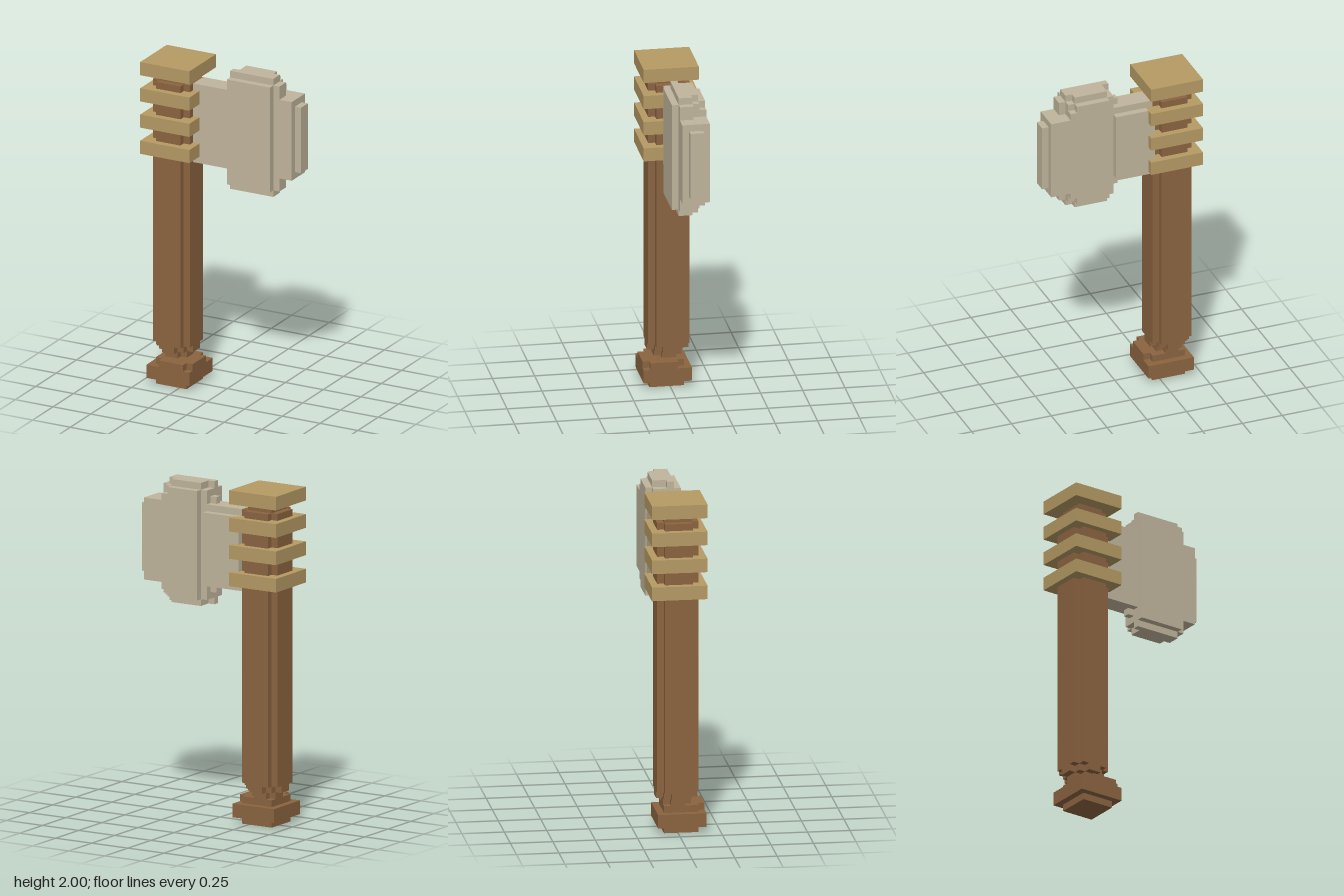
import * as THREE from 'three';

const U = 2 / 49; // one cell of the block grid

const wood = new THREE.MeshStandardMaterial({ color: 0x8b6440 });
wood.name = 'brown wood';
const binding = new THREE.MeshStandardMaterial({ color: 0xb59a64 });
binding.name = 'tan binding';
const stone = new THREE.MeshStandardMaterial({ color: 0xc0b59c });
stone.name = 'pale stone';

// Box spanning grid cells x0..x1, y0..y1, z0..z1
function block(parent, name, material, [x0, x1], [y0, y1], [z0, z1]) {
  const geometry = new THREE.BoxGeometry((x1 - x0) * U, (y1 - y0) * U, (z1 - z0) * U);
  const mesh = new THREE.Mesh(geometry, material);
  mesh.name = name;
  mesh.position.set(((x0 + x1) / 2 - 12) * U, ((y0 + y1) / 2) * U, ((z0 + z1) / 2 - 4) * U);
  parent.add(mesh);
}

// Two crossed boxes: a square section with its corners cut out
function cross(parent, name, material, long, short, y) {
  block(parent, name, material, long, y, short);
  block(parent, name, material, short, y, long);
}

function group(parent, name) {
  const g = new THREE.Group();
  g.name = name;
  parent.add(g);
  return g;
}

export function createModel() {
  const model = new THREE.Group();
  model.name = 'axe';

  // Handle: notched shaft with a tapered neck
  const handle = group(model, 'handle');
  cross(handle, 'shaft', wood, [1, 7], [2, 6], [6, 46]);
  cross(handle, 'shaftFoot', wood, [1, 7], [3, 5], [5, 6]);
  block(handle, 'shaftFoot', wood, [2, 6], [5, 6], [2, 6]);
  block(handle, 'shaftTop', wood, [2, 6], [46, 47], [2, 6]);
  cross(handle, 'neck', wood, [2, 6], [3, 5], [4, 5]);

  // Pommel
  const pommel = group(model, 'pommel');
  block(pommel, 'pommelBottom', wood, [2, 7], [0, 1], [2, 7]);
  block(pommel, 'pommelBody', wood, [1, 8], [1, 3], [1, 8]);
  cross(pommel, 'pommelTop', wood, [2, 8], [3, 7], [3, 4]);
  block(pommel, 'pommelTop', wood, [2, 7], [3, 4], [2, 7]);

  // Square bindings around the top of the handle
  const bindings = group(model, 'bindings');
  for (const y of [35, 39, 43, 47]) block(bindings, 'bindingRing', binding, [0, 8], [y, y + 2], [0, 8]);

  // Axe head: connecting web, then the stepped blade
  const head = group(model, 'axeHead');
  block(head, 'web', stone, [7, 13], [34, 46], [2, 5]);
  block(head, 'webBackPlate', stone, [7, 13], [35, 45], [1, 2]);
  block(head, 'bladeHeel', stone, [12, 14], [33, 47], [3, 4]);
  block(head, 'bladeCore', stone, [13, 20], [32, 48], [2, 5]);
  block(head, 'bladeFrontPlate', stone, [13, 20], [32, 48], [5, 6]);
  block(head, 'bladeBackPlate', stone, [14, 19], [32, 48], [1, 2]);
  block(head, 'bladeBackPlate', stone, [19, 20], [33, 47], [1, 2]);
  block(head, 'bladeShoulder', stone, [20, 21], [32, 48], [3, 5]);
  block(head, 'bladeCheek', stone, [20, 23], [34, 46], [1, 5]);
  block(head, 'bladeEdge', stone, [23, 24], [35, 45], [2, 4]);
  // Caps on the top and bottom of the blade
  for (const y of [31, 48]) {
    block(head, 'bladeCap', stone, [14, 19], [y, y + 1], [2, 5]);
    block(head, 'bladeCap', stone, [19, 20], [y, y + 1], [3, 5]);
    block(head, 'bladeCap', stone, [13, 14], [y, y + 1], [4, 5]);
  }
  return model;
}
